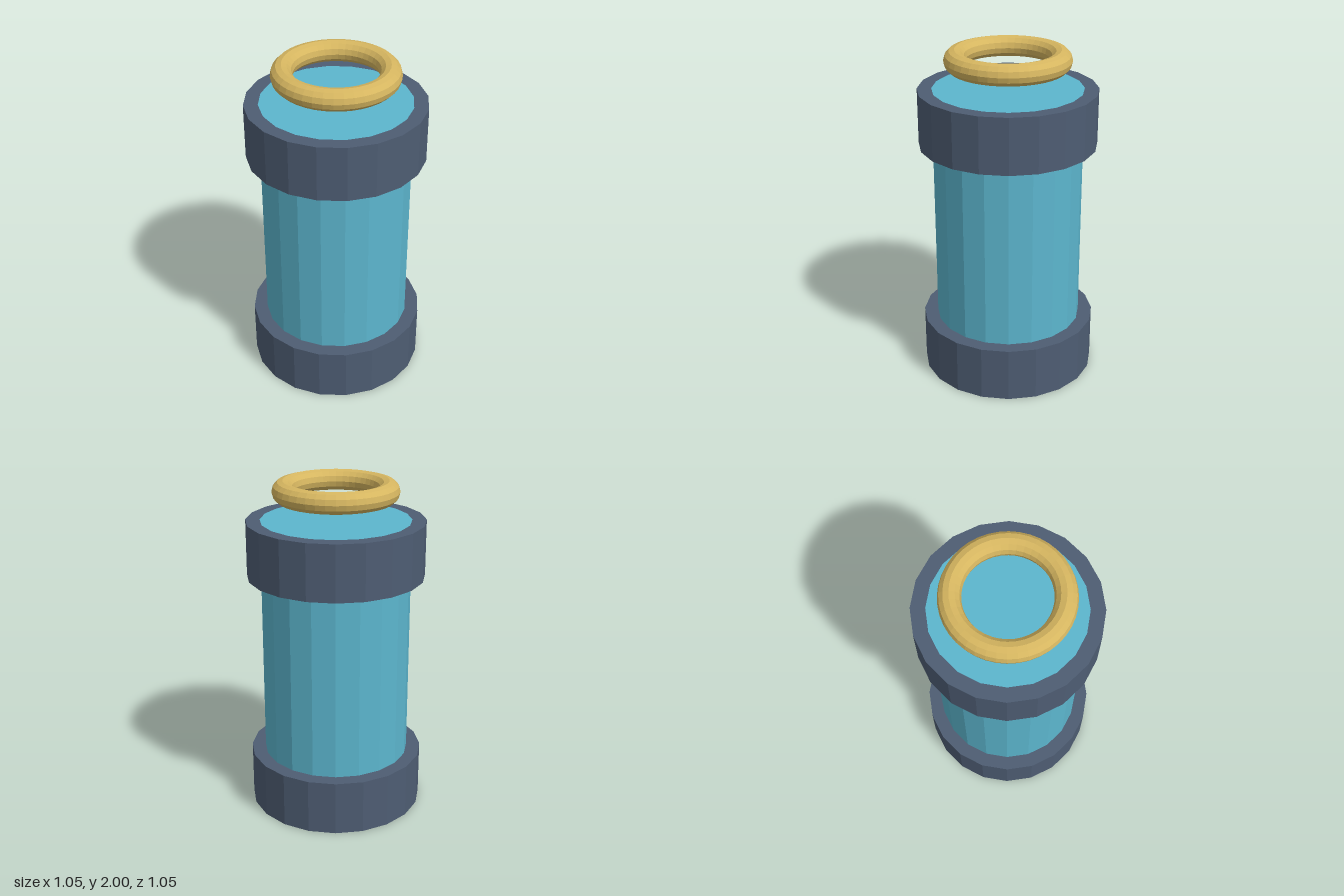
import * as THREE from 'three';

const SIDES = 20;
const BODY_R = 0.44, CAP_R = 0.523, CAP_H = 0.33, TOP = 1.77;

function material(name, color) {
  const m = new THREE.MeshStandardMaterial({ color, flatShading: true });
  m.name = name;
  return m;
}

function createModel() {
  const group = new THREE.Group();
  const glass = material('teal glass', 0x5cb6ce);
  const slate = material('slate metal', 0x4e5d73);
  const gold = material('gold', 0xd6b660);

  const add = (name, geometry, mat, y) => {
    const mesh = new THREE.Mesh(geometry, mat);
    mesh.name = name;
    mesh.position.y = y;
    group.add(mesh);
    return mesh;
  };

  // Faceted body running the full height, its ends flush with the collars
  add('body', new THREE.CylinderGeometry(BODY_R, BODY_R, TOP, SIDES), glass, TOP / 2);

  // Collars wrapped around both ends of the body
  const collar = new THREE.LatheGeometry([
    new THREE.Vector2(BODY_R, 0),
    new THREE.Vector2(CAP_R, 0),
    new THREE.Vector2(CAP_R, CAP_H),
    new THREE.Vector2(BODY_R, CAP_H),
  ], SIDES);
  add('bottomCollar', collar, slate, 0);
  add('topCollar', collar, slate, TOP - CAP_H);

  // Ring floating above the top
  const ring = new THREE.TorusGeometry(0.304, 0.063, 12, 40);
  ring.rotateX(Math.PI / 2);
  add('floatingRing', ring, gold, 1.937);

  return group;
}

export { createModel };
